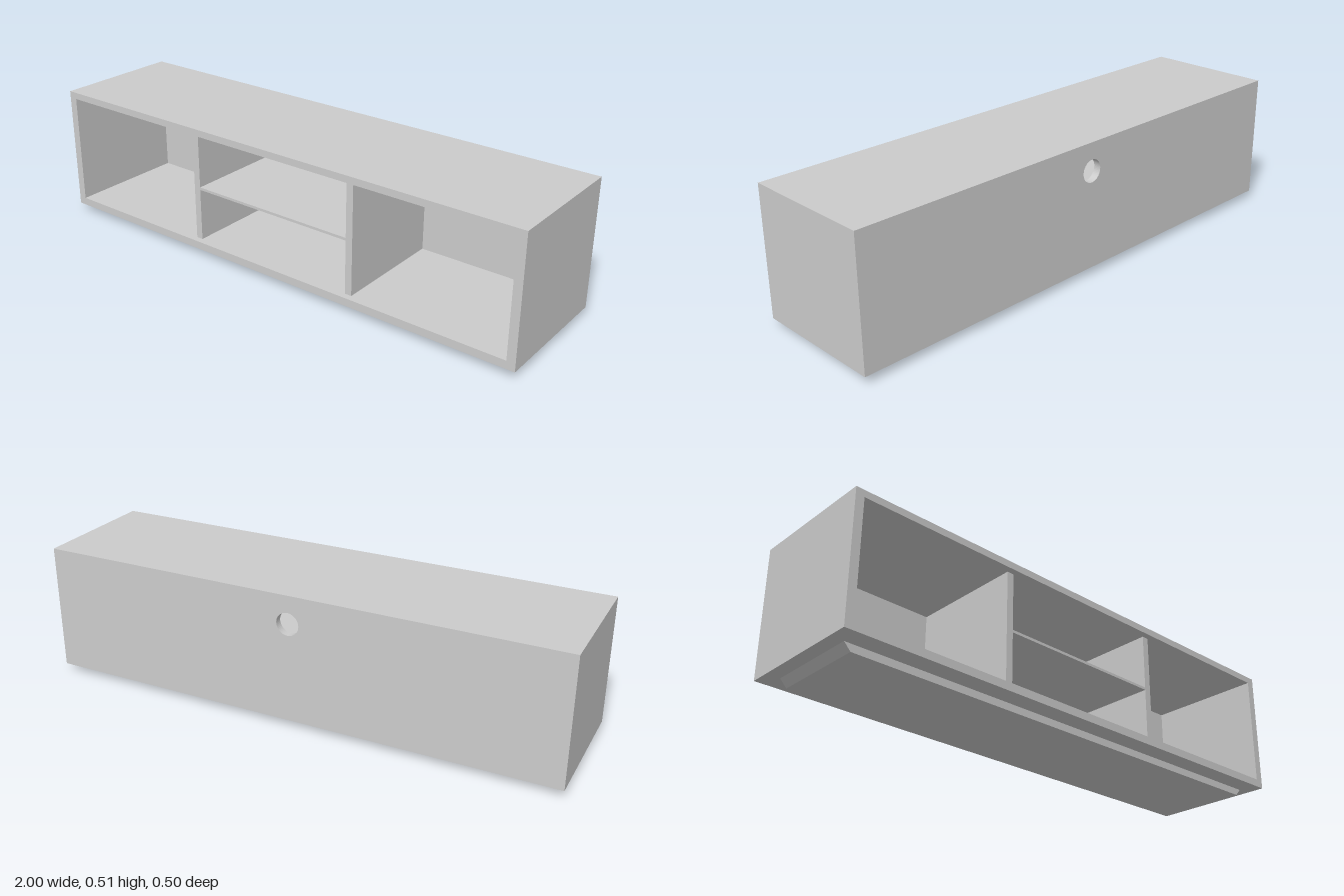
import * as THREE from 'three';

const material = new THREE.MeshStandardMaterial({ color: 0xcccccc });

// Outer cabinet and inner opening
const X = 1, Y0 = 0.027, Y1 = 0.51, Z = 0.25;
const IN_X = 0.968, IN_Y0 = 0.057, IN_Y1 = 0.484;
const BACK = 0.028;            // back panel thickness
const INNER_FRONT = 0.225;     // dividers and shelf sit behind the front edge

function rect(Type, x0, y0, x1, y1) {
  const r = new Type();
  r.moveTo(x0, y0).lineTo(x1, y0).lineTo(x1, y1).lineTo(x0, y1).closePath();
  return r;
}

function extrude(name, shape, z0, z1) {
  const geometry = new THREE.ExtrudeGeometry(shape, { depth: z1 - z0, bevelEnabled: false, curveSegments: 24 });
  const mesh = new THREE.Mesh(geometry.translate(0, 0, z0), material);
  mesh.name = name;
  return mesh;
}

function box(name, x0, x1, y0, y1, z0, z1) {
  const mesh = new THREE.Mesh(new THREE.BoxGeometry(x1 - x0, y1 - y0, z1 - z0), material);
  mesh.position.set((x0 + x1) / 2, (y0 + y1) / 2, (z0 + z1) / 2);
  mesh.name = name;
  return mesh;
}

export function createModel() {
  const group = new THREE.Group();
  group.name = 'mediaCabinet';

  // Top, bottom and sides as one frame
  const frame = rect(THREE.Shape, -X, Y0, X, Y1);
  frame.holes.push(rect(THREE.Path, -IN_X, IN_Y0, IN_X, IN_Y1));
  group.add(extrude('frame', frame, -Z + BACK, Z));

  // Back panel with round cable hole
  const back = rect(THREE.Shape, -X, Y0, X, Y1);
  back.holes.push(new THREE.Path().absarc(0, 0.403, 0.043, 0, Math.PI * 2, true));
  group.add(extrude('backPanel', back, -Z, -Z + BACK));

  // Two dividers and the thin shelf between them
  group.add(box('rightDivider', -0.361, -0.334, IN_Y0, IN_Y1, -Z + BACK, INNER_FRONT));
  group.add(box('leftDivider', 0.334, 0.361, IN_Y0, IN_Y1, -Z + BACK, INNER_FRONT));
  group.add(box('shelf', -0.334, 0.334, 0.26, 0.27, -Z + BACK, INNER_FRONT));

  // Plinth with sloping ends
  const plinth = new THREE.Shape();
  plinth.moveTo(-0.925, 0).lineTo(0.925, 0).lineTo(0.95, Y0).lineTo(-0.95, Y0).closePath();
  group.add(extrude('plinth', plinth, -0.176, 0.176));

  return group;
}
